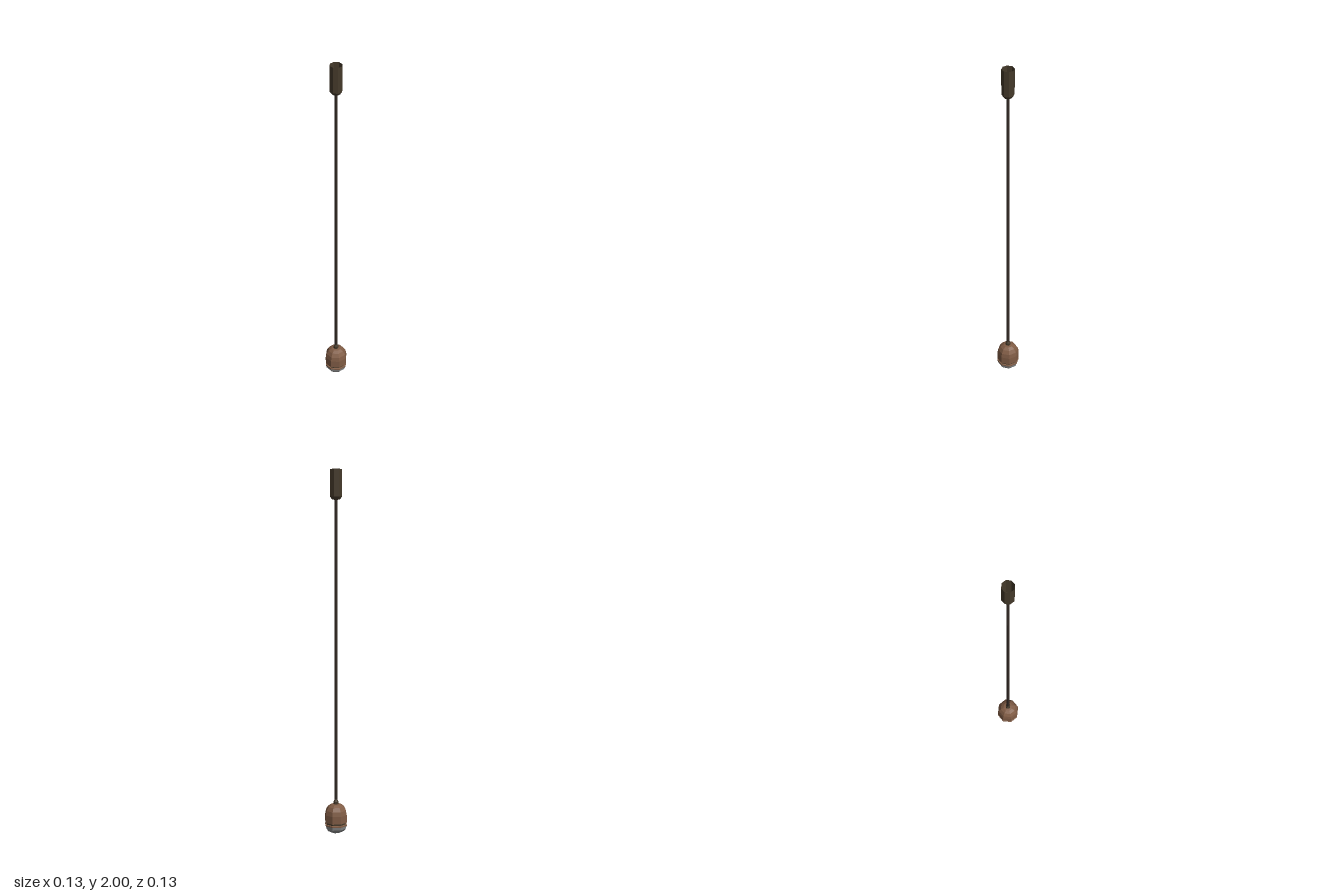
import * as THREE from 'three';

const SIDES = 8;

function material(name, color) {
  const m = new THREE.MeshStandardMaterial({ color, flatShading: true, side: THREE.DoubleSide });
  m.name = name;
  return m;
}

// Octagonal turned part; profile is [radius, height] from bottom to top
function turned(name, profile, mat) {
  const points = profile.map(([r, y]) => new THREE.Vector2(r, y));
  const mesh = new THREE.Mesh(new THREE.LatheGeometry(points, SIDES), mat);
  mesh.name = name;
  return mesh;
}

export function createModel() {
  const bronze = material('dark bronze', 0x453a2b);
  const cord = material('dark cord', 0x332a24);
  const copper = material('brown copper', 0x805c45);
  const glass = material('grey glass', 0x8f9090);

  const lamp = new THREE.Group();
  lamp.name = 'pendantLamp';

  // Ceiling mount, open at the top, with a chamfered floor
  lamp.add(turned('ceilingMount', [[0.008, 1.838], [0.022, 1.838], [0.034, 1.855], [0.034, 2]], bronze));

  // Hollow hanging cord
  lamp.add(turned('cord', [[0.008, 0.17], [0.008, 1.84]], cord));

  // Cord grip on top of the shade
  lamp.add(turned('cordGrip', [[0.014, 0.16], [0.014, 0.178], [0.008, 0.19]], bronze));

  // Domed shade
  lamp.add(turned('shade', [
    [0.056, 0.062], [0.063, 0.062], [0.063, 0.105], [0.058, 0.13],
    [0.045, 0.151], [0.028, 0.162], [0.010, 0.165],
  ], copper));

  // Recessed neck between shade and glass
  lamp.add(turned('neck', [[0.056, 0.048], [0.056, 0.063]], bronze));

  // Rim holding the glass
  lamp.add(turned('rim', [[0.063, 0.043], [0.063, 0.05], [0.055, 0.052]], copper));

  // Rounded glass diffuser
  lamp.add(turned('diffuser', [
    [0, 0], [0.025, 0.002], [0.045, 0.012], [0.057, 0.026], [0.062, 0.043],
  ], glass));

  return lamp;
}
